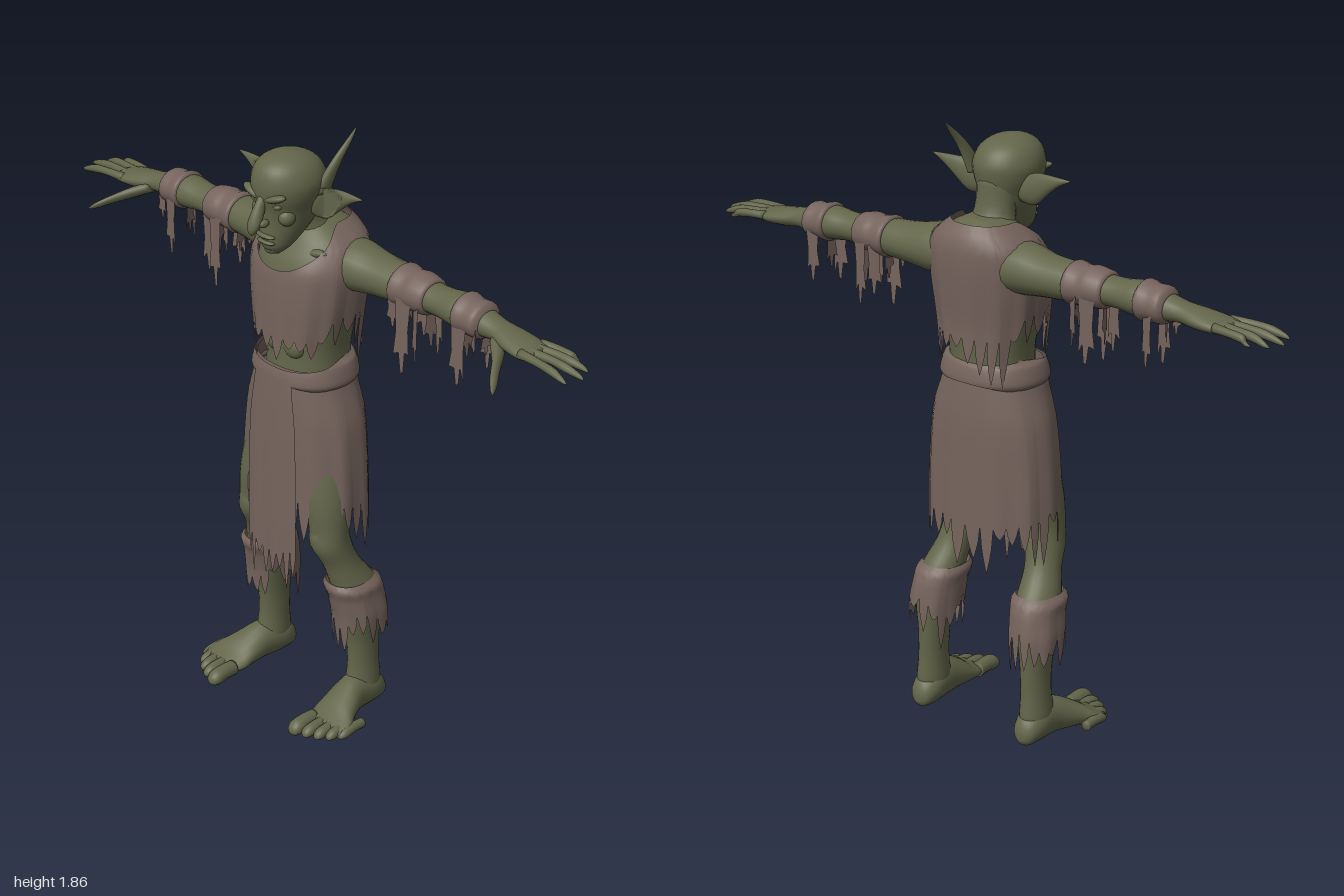
import * as THREE from 'three';

const skin = new THREE.MeshStandardMaterial({ color: 0x63664a });
skin.name = 'olive skin';
const cloth = new THREE.MeshStandardMaterial({ color: 0x76645d, side: THREE.DoubleSide });
cloth.name = 'ragged cloth';

// Catmull-Rom sample of section rows at u (in row units)
function sample(rows, u) {
  const i = Math.min(Math.floor(u), rows.length - 2), t = u - i;
  const r = (k) => rows[Math.max(0, Math.min(rows.length - 1, k))];
  return rows[i].map((p1, c) => {
    const p0 = r(i - 1)[c], p2 = r(i + 1)[c], p3 = r(i + 2)[c];
    return p1 + 0.5 * t * (p2 - p0 + t * (2 * p0 - 5 * p1 + 4 * p2 - p3 + t * (3 * (p1 - p2) + p3 - p0)));
  });
}
const pow = (v, p) => Math.sign(v) * Math.abs(v) ** p;
const hash = (n) => { const s = Math.sin(n * 127.1 + 3.7) * 43758.5453; return s - Math.floor(s); };

function geometry(pos, idx) {
  const g = new THREE.BufferGeometry();
  g.setAttribute('position', new THREE.Float32BufferAttribute(pos, 3));
  g.setIndex(idx);
  g.computeVertexNormals();
  return g;
}
function add(parent, name, geo, mat) {
  const m = new THREE.Mesh(geo, mat);
  m.name = name;
  parent.add(m);
  return m;
}

// Closed body from elliptical sections [x, y, z, a, b] set across one axis
function loft(rows, axis, { n = 20, sub = 4, p = 1, s = 1 } = {}) {
  const pos = [], idx = [], total = (rows.length - 1) * sub;
  for (let i = 0; i <= total; i++) {
    const [x, y, z, a, b] = sample(rows, i / sub);
    for (let j = 0; j < n; j++) {
      const t = (j / n) * Math.PI * 2, q = a * pow(Math.sin(t), p), w = b * pow(Math.cos(t), p);
      if (axis === 'y') pos.push(s * (x + q), y, z + w);
      else if (axis === 'x') pos.push(s * x, y + q, z + w);
      else pos.push(s * (x + q), y + w, z);
    }
  }
  for (let i = 0; i < total; i++) for (let j = 0; j < n; j++) {
    const a = i * n + j, b = i * n + (j + 1) % n;
    idx.push(a, b, b + n, a, b + n, a + n);
  }
  const c = pos.length / 3, first = rows[0], last = rows[rows.length - 1];
  pos.push(s * first[0], first[1], first[2], s * last[0], last[1], last[2]);
  for (let j = 0; j < n; j++) {
    const k = (j + 1) % n;
    idx.push(c, k, j, c + 1, total * n + j, total * n + k);
  }
  // turn the faces outward whichever way the rows run
  let vol = 0;
  const v = (k) => new THREE.Vector3(pos[k * 3] - s * first[0], pos[k * 3 + 1] - first[1], pos[k * 3 + 2] - first[2]);
  for (let i = 0; i < idx.length; i += 3) vol += v(idx[i]).dot(v(idx[i + 1]).cross(v(idx[i + 2])));
  if (vol < 0) idx.reverse();
  return geometry(pos, idx);
}

// Open cloth hung round y; top and hem heights depend on the angle (0 = front)
function drape(rows, top, hem, { from = -Math.PI, to = Math.PI, n = 180, fold = 0, k = 9, s = 1 } = {}) {
  const pos = [], idx = [], full = to - from > 6.28, cols = full ? n : n + 1, m = 16;
  for (let i = 0; i <= m; i++) for (let j = 0; j < cols; j++) {
    const t = from + ((to - from) * j) / n, v = i / m, y = top(t) + (hem(t) - top(t)) * v;
    let u = 0;
    while (u < rows.length - 2 && rows[u + 1][1] > y) u++;
    const f = THREE.MathUtils.clamp((rows[u][1] - y) / (rows[u][1] - rows[u + 1][1]), 0, 1);
    const r = sample(rows, u + f), w = 1 + fold * v * Math.sin(k * t);
    pos.push(s * (r[0] + r[3] * w * pow(Math.sin(t), 0.9)), y, r[2] + r[4] * w * pow(Math.cos(t), 0.9));
  }
  for (let i = 0; i < m; i++) for (let j = 0; j < n; j++) {
    const a = i * cols + j, b = i * cols + (j + 1) % cols;
    idx.push(a, a + cols, b + cols, a, b + cols, b);
  }
  return geometry(pos, idx);
}
// Periodic torn edge, 0..1
function torn(t, cells, seed) {
  const c = ((t / (Math.PI * 2) + 1) % 1) * cells, i = Math.floor(c + 1e-6), f = c - i;
  return (0.2 + 0.8 * hash((i % cells) + seed) ** 1.5) * Math.max(0, 1 - Math.abs(2 * f - 1)) ** 0.6;
}

// Hanging rag with a torn lower end
function rag(w, len, seed) {
  const sh = new THREE.Shape(), h = w / 2;
  sh.moveTo(-h, 0);
  sh.lineTo(-h * 0.8, -len * 0.45);
  sh.lineTo(-h * 1.1, -len * (0.65 + 0.2 * hash(seed)));
  sh.lineTo(-h * 0.4, -len * 0.72);
  sh.lineTo(-h * 0.1, -len);
  sh.lineTo(h * 0.25, -len * 0.96);
  sh.lineTo(h * 0.4, -len * 0.7);
  sh.lineTo(h * 0.9, -len * (0.7 + 0.25 * hash(seed + 5)));
  sh.lineTo(h * 0.75, -len * 0.4);
  sh.lineTo(h, 0);
  return new THREE.ShapeGeometry(sh);
}
function blob(parent, name, x, y, z, a, b, c, tilt = 0) {
  const m = add(parent, name, new THREE.SphereGeometry(1, 18, 12), skin);
  m.position.set(x, y, z);
  m.scale.set(a, b, c);
  m.rotation.z = tilt;
}

function buildHead(g) {
  add(g, 'head', loft([[0, 1.522, .085, .018, .014], [0, 1.545, .075, .042, .045], [0, 1.58, .055, .058, .07], [0, 1.62, .035, .072, .09],
    [0, 1.66, .03, .083, .1], [0, 1.7, .03, .097, .11], [0, 1.74, .03, .1, .112], [0, 1.78, .034, .083, .095],
    [0, 1.805, .038, .05, .058], [0, 1.815, .04, .008, .008]], 'y', { n: 32 }), skin);
  add(g, 'neck', loft([[0, 1.5, -.08, .1, .085], [0, 1.56, -.06, .08, .07], [0, 1.61, -.035, .062, .056], [0, 1.7, -.01, .066, .07]], 'y'), skin);
  add(g, 'nose', loft([[0, 1.715, .125, .012, .01], [0, 1.68, .14, .015, .018], [0, 1.65, .153, .019, .021],
    [0, 1.625, .164, .02, .018], [0, 1.608, .17, .013, .011], [0, 1.598, .172, .003, .003]], 'y'), skin);
  blob(g, 'lowerLip', 0, 1.563, .118, .034, .007, .014);
  blob(g, 'upperLip', 0, 1.582, .12, .036, .008, .014);
  blob(g, 'chin', 0, 1.537, .098, .022, .016, .018);
  for (const s of [1, -1]) {
    blob(g, 'brow', s * .04, 1.705, .122, .043, .012, .02, s * .3);
    blob(g, 'eye', s * .04, 1.68, .114, .018, .01, .012, s * .15);
    blob(g, 'cheek', s * .053, 1.645, .088, .024, .026, .026, s * .5);
    blob(g, 'nostril', s * .017, 1.63, .142, .012, .012, .018);
    // broad ear, dished toward the front
    const ear = loft([[.07, 1.67, .0, .035, .022], [.1, 1.675, 0, .045, .022], [.13, 1.684, -.004, .045, .019], [.17, 1.703, -.01, .028, .014],
      [.21, 1.718, -.012, .012, .009], [.246, 1.726, -.012, .002, .002]], 'x', { s });
    const p = ear.attributes.position;
    for (let i = 0; i < p.count; i++) {
      const x = Math.abs(p.getX(i));
      if (p.getZ(i) > .002 && x > .1 && x < .19) p.setZ(i, -.006);
    }
    ear.computeVertexNormals();
    add(g, 'ear', ear, skin);
  }
  add(g, 'raisedEarSpike', loft([[.085, 1.7, -.015, .016, .034], [.093, 1.745, -.035, .014, .027], [.1, 1.79, -.062, .011, .02],
    [.103, 1.83, -.098, .007, .013], [.1, 1.862, -.132, .002, .003]], 'y', { n: 14 }), skin);
}

function buildArm(g, s) {
  const rows = [[.08, 1.475, -.09, .075, .085], [.16, 1.478, -.09, .075, .082], [.24, 1.475, -.095, .062, .07], [.33, 1.475, -.097, .055, .062],
    [.42, 1.475, -.095, .045, .052], [.49, 1.475, -.095, .043, .05], [.56, 1.475, -.095, .05, .057], [.63, 1.47, -.095, .041, .047],
    [.69, 1.465, -.093, .03, .04], [.74, 1.458, -.09, .028, .05], [.8, 1.452, -.086, .023, .056], [.845, 1.45, -.083, .014, .05]];
  add(g, 'arm', loft(rows, 'x', { s }), skin);
  [[-.128, .935, -.145], [-.1, .98, -.122], [-.072, 1, -.08], [-.045, .985, -.03]].forEach(([z, tx, tz]) => {
    const mid = (.82 + tx) / 2;
    add(g, 'finger', loft([[.81, 1.455, z, .014, .015], [mid - .02, 1.455, (z + tz) / 2, .012, .012], [mid + .03, 1.45, z + (tz - z) * .7, .013, .012],
      [tx - .015, 1.441, tz, .008, .007], [tx, 1.436, tz, .002, .002]], 'x', { s, n: 10 }), skin);
  });
  add(g, 'thumb', loft([[.7, 1.452, -.075, .018, .03], [.75, 1.43, -.025, .018, .026], [.785, 1.412, .025, .014, .02],
    [.815, 1.394, .062, .01, .014], [.83, 1.385, .082, .002, .003]], 'x', { s, n: 12 }), skin);
  // cloth wrapped on the upper arm and forearm, with hanging rags
  add(g, 'upperArmWrap', loft([[.325, 1.475, -.097, .056, .064], [.335, 1.476, -.097, .063, .07], [.37, 1.475, -.097, .057, .064],
    [.4, 1.477, -.096, .059, .066], [.44, 1.475, -.095, .054, .06], [.45, 1.475, -.095, .045, .05]], 'x', { s }), cloth);
  add(g, 'forearmWrap', loft([[.56, 1.475, -.095, .05, .056], [.57, 1.475, -.095, .059, .065], [.6, 1.473, -.095, .053, .06],
    [.635, 1.472, -.095, .053, .06], [.65, 1.468, -.095, .038, .044]], 'x', { s }), cloth);
  [[.343, -.04, .035, .1, .3], [.385, -.035, .055, .23, .1], [.425, -.045, .035, .19, -.4], [.36, -.15, .04, .16, .5], [.41, -.155, .05, .2, -.2],
    [.435, -.1, .04, .15, 1.3], [.345, -.1, .04, .12, 1.5], [.59, -.04, .05, .19, .15], [.638, -.05, .025, .09, -.4], [.57, -.1, .04, .13, 1.4],
    [.605, -.145, .04, .17, .3], [.64, -.1, .03, .1, 1.2]].forEach(([x, z, w, len, yaw], i) => {
    const m = add(g, 'armRag', rag(w, len, i), cloth);
    m.position.set(s * x, 1.465, z);
    m.rotation.y = s * yaw;
  });
}

function buildLeg(g, s) {
  add(g, 'leg', loft([[.08, 1.1, -.05, .075, .09], [.11, .9, -.03, .085, .092], [.135, .75, 0, .073, .078], [.15, .66, .012, .06, .06],
    [.155, .6, .008, .058, .065], [.168, .53, -.022, .054, .06], [.185, .44, -.065, .064, .078], [.195, .35, -.08, .058, .07],
    [.196, .25, -.09, .043, .058], [.198, .16, -.092, .041, .055], [.2, .08, -.09, .046, .062], [.2, .05, -.085, .04, .05]], 'y', { s, n: 24 }), skin);
  blob(g, 'kneecap', s * .152, .625, .048, .034, .045, .028);
  add(g, 'foot', loft([[.2, .035, -.17, .012, .014], [.2, .042, -.155, .036, .04], [.2, .058, -.11, .05, .058], [.205, .062, -.04, .05, .062],
    [.22, .046, .03, .066, .046], [.235, .031, .075, .08, .031], [.238, .024, .115, .068, .02]], 'z', { s }), skin);
  [[.182, .2, .025], [.222, .185, .019], [.255, .168, .018], [.283, .145, .017], [.305, .115, .016]].forEach(([x, z, r]) =>
    add(g, 'toe', loft([[x, .028, z - .1, r * .9, r], [x, .03, z - .06, r * .95, r], [x, .026, z - .025, r, r], [x, .022, z - .006, r * .7, r * .6],
      [x, .02, z, .003, .003]], 'z', { s, n: 12 }), skin));
  add(g, 'calfWrap', drape([[.178, .47, -.05, .063, .076], [.182, .455, -.055, .077, .09], [.186, .42, -.068, .075, .09], [.193, .35, -.08, .077, .088],
    [.195, .2, -.085, .072, .085]], () => .47, (t) => .345 - .03 * Math.cos(t * 3) - .13 * torn(t, 16, 31 + s * 7), { n: 128, fold: .03, k: 7, s }), cloth);
}

export function createModel() {
  const g = new THREE.Group();
  g.name = 'raggedGoblin';
  buildHead(g);
  add(g, 'torso', loft([[0, 1.08, -.045, .13, .11], [0, 1.2, -.05, .128, .108], [0, 1.3, -.05, .145, .118], [0, 1.4, -.055, .16, .133],
    [0, 1.48, -.065, .165, .13], [0, 1.54, -.08, .145, .112], [0, 1.575, -.08, .1, .085], [0, 1.6, -.07, .05, .05]], 'y', { n: 32, p: .9 }), skin);
  for (const s of [1, -1]) {
    blob(g, 'bellyMuscle', s * .035, 1.22, .045, .04, .035, .022);
    blob(g, 'collarbone', s * .075, 1.52, .012, .06, .013, .016, s * .2);
    const limb = new THREE.Group();
    limb.name = s > 0 ? 'leftLimbs' : 'rightLimbs';
    g.add(limb);
    buildArm(limb, s);
    buildLeg(limb, s);
  }
  // shirt: scooped neck, open torn flanks
  const flank = (t) => THREE.MathUtils.smoothstep(Math.abs(Math.sin(t)), .8, .97);
  add(g, 'shirt', drape([[0, 1.62, -.07, .07, .08], [0, 1.58, -.08, .115, .105], [0, 1.54, -.076, .162, .128], [0, 1.48, -.058, .18, .148],
    [0, 1.4, -.05, .178, .15], [0, 1.3, -.045, .165, .146], [0, 1.2, -.045, .152, .146], [0, 1.1, -.045, .15, .15]],
  (t) => 1.595 - .125 * Math.max(0, Math.cos(t)) ** 2, (t) => 1.265 + .07 * flank(t) - .15 * torn(t, 26, 4), { n: 208, fold: .018, k: 12 }), cloth);
  const skirt = [[0, 1.17, -.035, .145, .12], [0, 1.12, -.036, .158, .127], [0, 1, -.04, .195, .135], [0, .85, -.04, .212, .138],
    [0, .7, -.04, .218, .14], [0, .4, -.04, .215, .14]];
  add(g, 'skirt', drape(skirt, () => 1.165, (t) => .74 - .06 * Math.max(0, -Math.cos(t)) - .17 * torn(t, 30, 11), { n: 240, fold: .02, k: 11 }), cloth);
  add(g, 'frontFlap', drape(skirt.map(([x, y, z, a, b]) => [x, y, z, a + .012, b + .014]), () => 1.14,
    (t) => .56 + .25 * Math.abs(t) ** 2 - .18 * torn(t, 58, 23), { from: -.42, to: .42, n: 90, fold: .015, k: 20 }), cloth);
  add(g, 'waistband', drape([[0, 1.185, -.036, .132, .112], [0, 1.175, -.036, .15, .127], [0, 1.15, -.036, .16, .135], [0, 1.12, -.036, .166, .138],
    [0, 1.105, -.036, .158, .128]], (t) => 1.183 - .02 * Math.cos(t), (t) => 1.108 + .012 * Math.cos(2 * t), { n: 64 }), cloth);
  return g;
}
